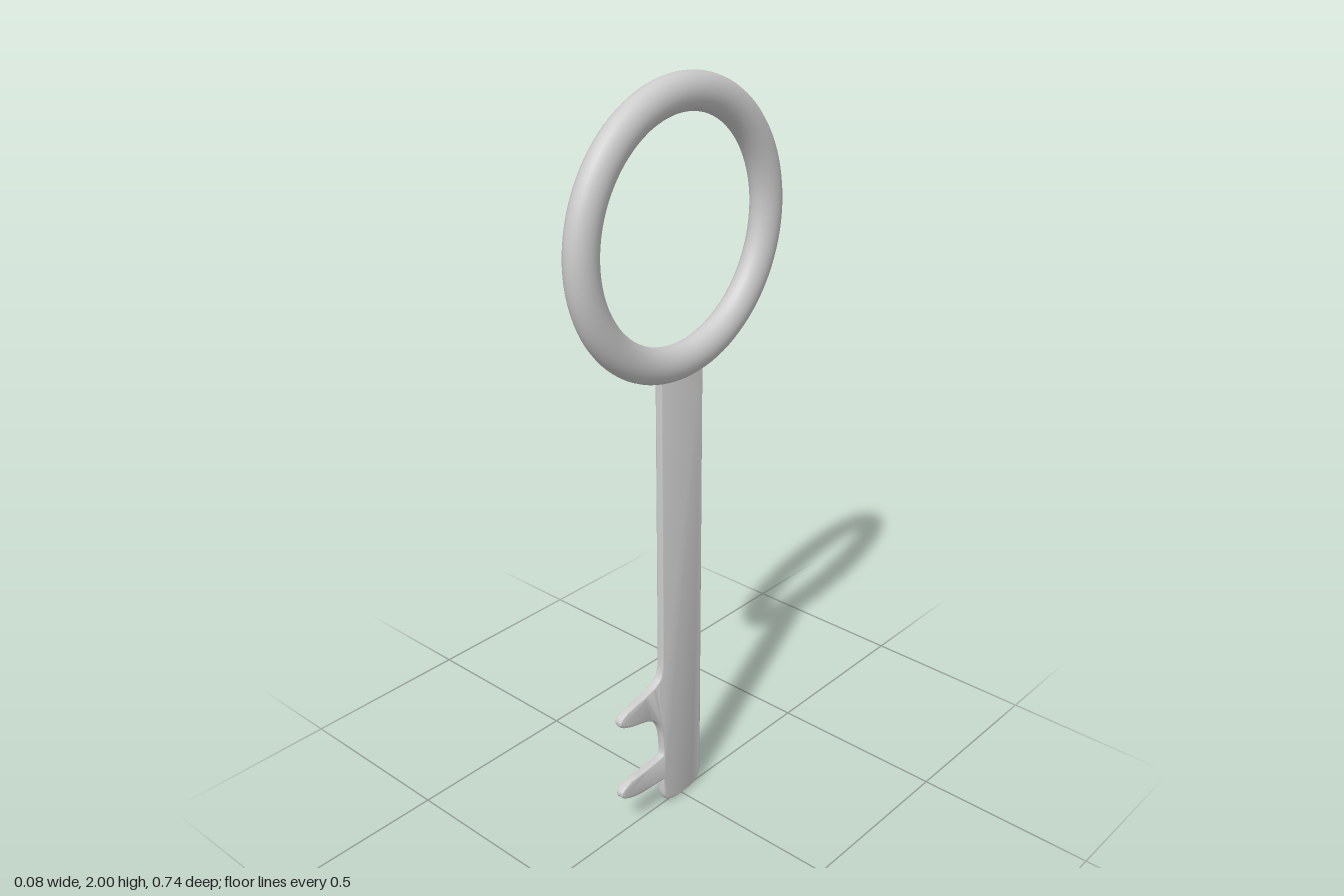
import * as THREE from 'three';
import { toCreasedNormals } from 'three/addons/utils/BufferGeometryUtils.js';

export function createModel() {
  const group = new THREE.Group();
  const material = new THREE.MeshStandardMaterial({ color: 0xcccccc });

  // Ring handle: torus standing in the y-z plane, tube slightly flattened sideways
  const ringGeometry = new THREE.TorusGeometry(0.323, 0.0455, 28, 96);
  ringGeometry.scale(1, 1, 0.038 / 0.0455);
  ringGeometry.rotateY(-Math.PI / 2);
  const ring = new THREE.Mesh(ringGeometry, material);
  ring.name = 'ringHandle';
  ring.position.y = 1.632;
  group.add(ring);

  // Flat blade outline, drawn as (z, y), with two soft teeth on the +z side
  const w = 0.077;
  const s = new THREE.Shape();
  s.moveTo(-w, 1.31);
  s.lineTo(-w, 0.06);
  s.bezierCurveTo(-w, 0.015, -0.055, 0.003, 0, 0.003);
  s.bezierCurveTo(0.055, 0.003, w, 0.015, w, 0.06);
  s.lineTo(w, 0.092);
  // lower tooth
  s.bezierCurveTo(0.12, 0.096, 0.155, 0.094, 0.185, 0.101);
  s.bezierCurveTo(0.215, 0.108, 0.242, 0.12, 0.242, 0.135);
  s.bezierCurveTo(0.242, 0.155, 0.205, 0.164, 0.175, 0.165);
  s.bezierCurveTo(0.13, 0.167, w, 0.17, w, 0.178);
  // notch and upper tooth
  s.bezierCurveTo(w, 0.255, 0.088, 0.285, 0.115, 0.308);
  s.bezierCurveTo(0.14, 0.325, 0.175, 0.328, 0.2, 0.336);
  s.bezierCurveTo(0.225, 0.345, 0.242, 0.352, 0.242, 0.366);
  s.bezierCurveTo(0.242, 0.386, 0.21, 0.392, 0.18, 0.398);
  s.bezierCurveTo(0.14, 0.405, 0.11, 0.412, 0.094, 0.425);
  s.bezierCurveTo(0.081, 0.436, w, 0.455, w, 0.5);
  s.lineTo(w, 1.31);
  s.closePath();

  // Thin plate with softly rounded edges
  const bladeGeometry = new THREE.ExtrudeGeometry(s, {
    depth: 0.01, curveSegments: 10,
    bevelEnabled: true, bevelThickness: 0.007, bevelSize: 0.007, bevelOffset: -0.007, bevelSegments: 4,
  });
  bladeGeometry.translate(0, 0, -0.005);
  bladeGeometry.rotateY(-Math.PI / 2);
  const blade = new THREE.Mesh(toCreasedNormals(bladeGeometry, 0.7), material);
  blade.name = 'toothedBlade';
  blade.position.y = -0.003;
  group.add(blade);

  return group;
}
